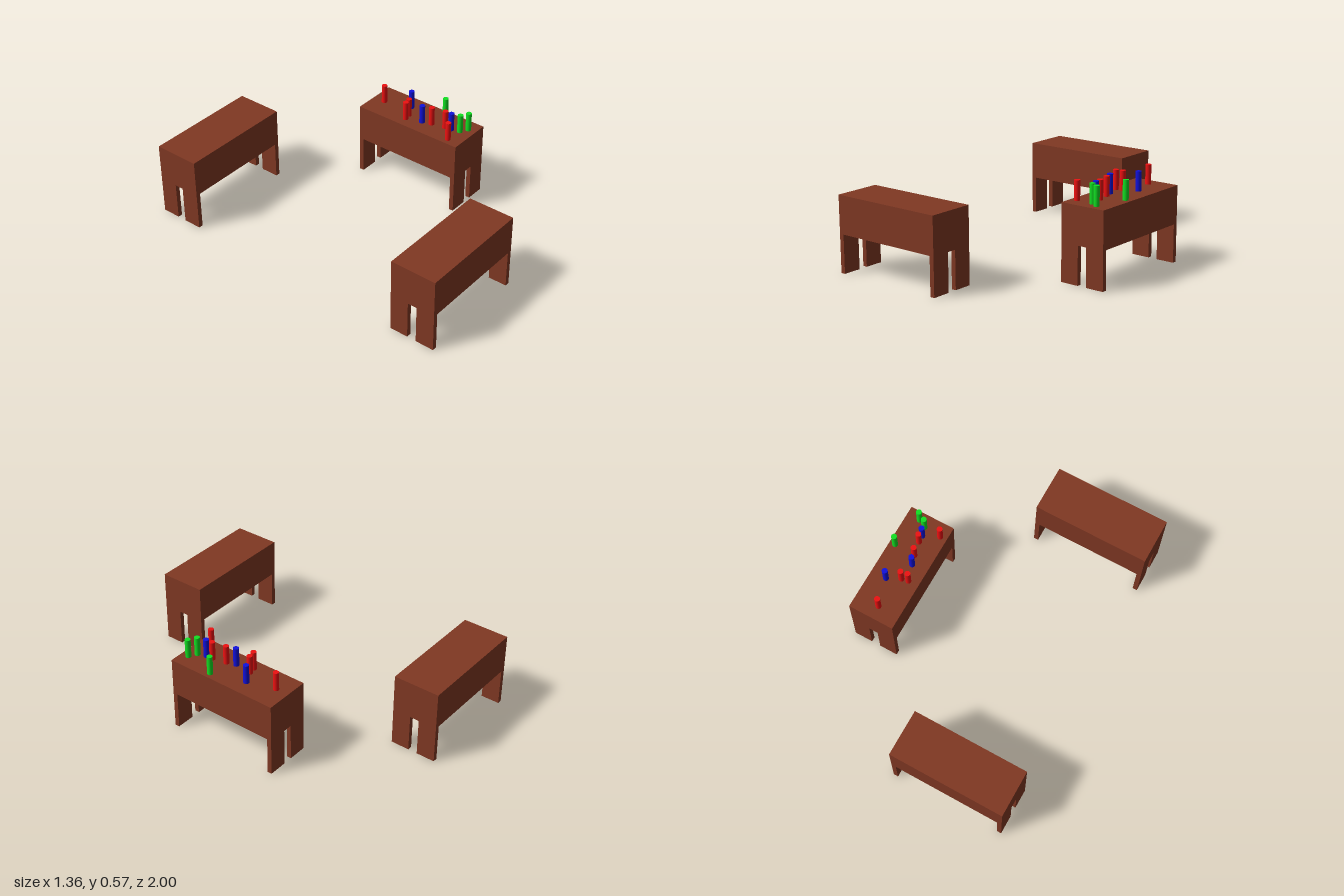
import * as THREE from 'three';

const LENGTH = 0.713, WIDTH = 0.285, HEIGHT = 0.457;
const LEG_H = 0.23, LEG_T = 0.028, LEG_W = 0.114;

const wood = new THREE.MeshStandardMaterial({ color: 0x803823 });
const red = new THREE.MeshStandardMaterial({ color: 0xee1111 });
const green = new THREE.MeshStandardMaterial({ color: 0x11e022 });
const blue = new THREE.MeshStandardMaterial({ color: 0x1111dd });

function addBox(parent, name, size, position) {
  const mesh = new THREE.Mesh(new THREE.BoxGeometry(...size), wood);
  mesh.name = name;
  mesh.position.set(...position);
  parent.add(mesh);
}

// Solid deep top on four flat legs, long side along x
function createTable(name, x, z, turn = 0) {
  const table = new THREE.Group();
  table.name = name;
  addBox(table, 'tableTop', [LENGTH, HEIGHT - LEG_H, WIDTH], [0, (HEIGHT + LEG_H) / 2, 0]);
  for (const sx of [-1, 1]) {
    for (const sz of [-1, 1]) {
      addBox(table, 'leg', [LEG_T, LEG_H, LEG_W],
        [sx * (LENGTH - LEG_T) / 2, LEG_H / 2, sz * (WIDTH - LEG_W) / 2]);
    }
  }
  table.position.set(x, 0, z);
  table.rotation.y = turn;
  return table;
}

export function createModel() {
  const model = new THREE.Group();
  model.name = 'tablesWithPegs';

  model.add(createTable('frontTable', -0.322, 0.857));
  model.add(createTable('backTable', -0.322, -0.857));
  model.add(createTable('sideTable', 0.535, 0, Math.PI / 2));

  // Coloured pegs standing on the side table: [x, z] per colour
  const pegHeight = 0.116;
  const pegGeometry = new THREE.CylinderGeometry(0.017, 0.017, pegHeight, 24);
  const pegs = [
    ['redPeg', red, [[0.53, -0.275], [0.458, -0.058], [0.5, -0.066], [0.508, 0.098], [0.527, 0.184], [0.435, 0.271]]],
    ['bluePeg', blue, [[0.58, -0.106], [0.49, 0.041], [0.529, 0.226]]],
    ['greenPeg', green, [[0.641, 0.103], [0.545, 0.279], [0.593, 0.306]]],
  ];
  for (const [name, material, spots] of pegs) {
    for (const [x, z] of spots) {
      const peg = new THREE.Mesh(pegGeometry, material);
      peg.name = name;
      peg.position.set(x, HEIGHT + pegHeight / 2, z);
      model.add(peg);
    }
  }
  return model;
}
